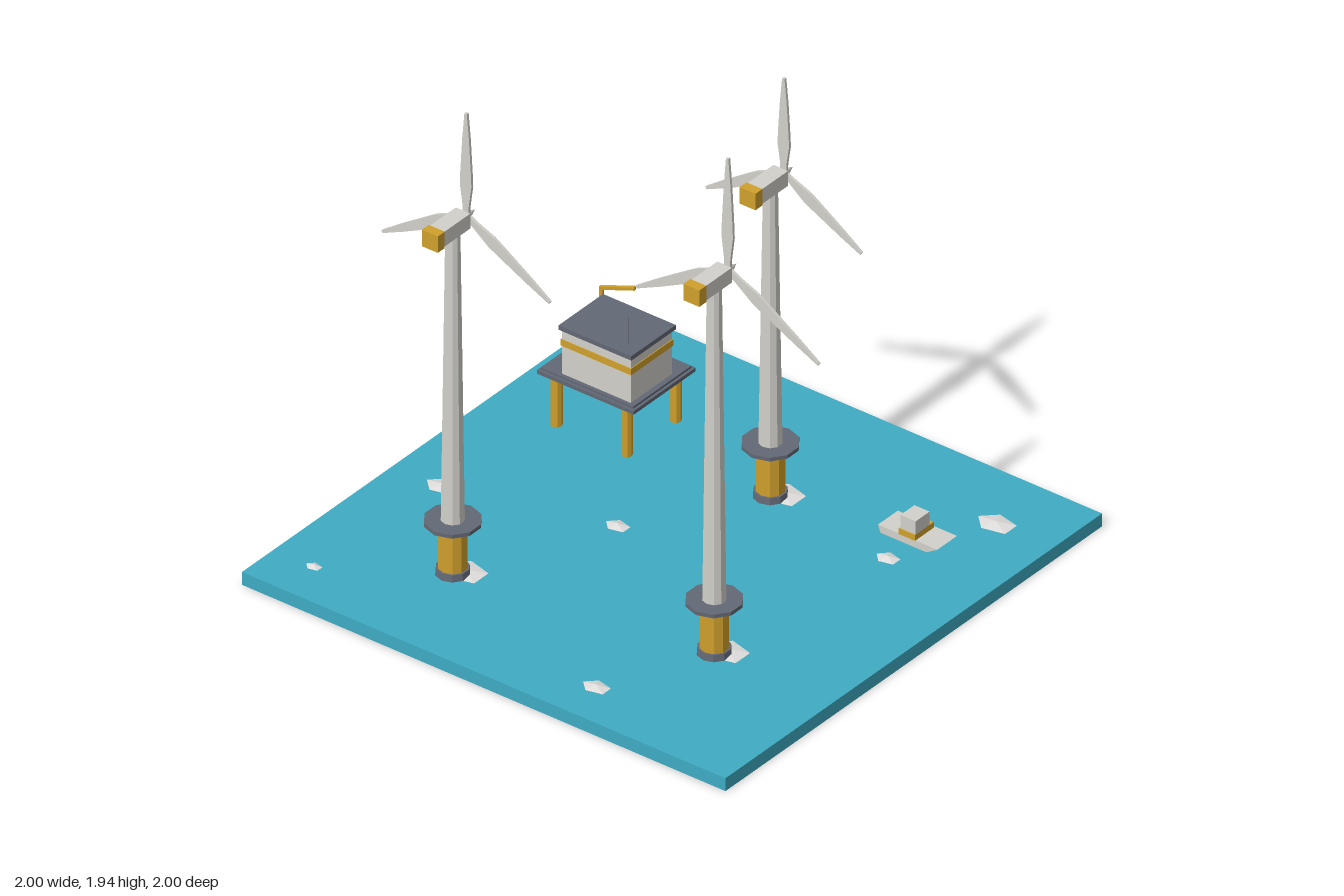
import * as THREE from 'three';

const mat = (name, color) => {
  const m = new THREE.MeshStandardMaterial({ color, flatShading: true });
  m.name = name;
  return m;
};

export function createModel() {
  const sea = mat('sea teal', 0x3fabc3);
  const white = mat('painted white', 0xd2d1cb);
  const gold = mat('safety yellow', 0xd0a02c);
  const grey = mat('deck grey', 0x626875);
  const foamMat = mat('foam white', 0xdedddb);
  const glass = mat('window blue', 0x2fa0bf);

  const root = new THREE.Group();
  root.name = 'offshoreWindFarm';

  const add = (parent, name, geo, material, x = 0, y = 0, z = 0) => {
    const m = new THREE.Mesh(geo, material);
    m.name = name;
    m.position.set(x, y, z);
    parent.add(m);
    return m;
  };
  // box given by its min and max on each axis
  const box = (parent, name, material, x0, x1, y0, y1, z0, z1) =>
    add(parent, name, new THREE.BoxGeometry(x1 - x0, y1 - y0, z1 - z0), material,
      (x0 + x1) / 2, (y0 + y1) / 2, (z0 + z1) / 2);
  // upright cylinder given by its bottom and top
  const column = (parent, name, material, rTop, rBottom, y0, y1, x = 0, z = 0, sides = 10) =>
    add(parent, name, new THREE.CylinderGeometry(rTop, rBottom, y1 - y0, sides), material, x, (y0 + y1) / 2, z);
  // low five-sided foam mound pointing to -x
  const foam = (parent, x, z, rx, rz) => {
    const g = new THREE.ConeGeometry(1, 0.01, 5, 1, false, -Math.PI / 2);
    g.scale(rx, 1, rz);
    return add(parent, 'foamPatch', g, foamMat, x, 0.055, z);
  };

  box(root, 'seaSlab', sea, -1, 1, 0, 0.05, -1, 1);

  // blade outline, pointing up from the hub
  const bladeGeometry = (len) => {
    const outline = [[0.012, 0], [0.013, 0.1], [0.024, 0.3], [0.022, 0.42], [0.014, 0.75], [0.005, 1]];
    const pts = outline.map(([w, t]) => new THREE.Vector2(w, t * len));
    const mirrored = outline.map(([w, t]) => new THREE.Vector2(-w, t * len)).reverse();
    const g = new THREE.ExtrudeGeometry(new THREE.Shape([...pts, ...mirrored]), { depth: 0.01, bevelEnabled: false });
    return g.translate(0, 0, -0.005);
  };

  const turbine = (x, z, hubY, bladeLen) => {
    const t = new THREE.Group();
    t.name = 'windTurbine';
    t.position.set(x, 0, z);
    root.add(t);
    // foundation
    column(t, 'foundationCollar', grey, 0.057, 0.06, 0.05, 0.075);
    column(t, 'foundation', gold, 0.05, 0.05, 0.07, 0.25);
    column(t, 'serviceDeck', grey, 0.098, 0.098, 0.246, 0.26);
    box(t, 'boatLanding', gold, -0.015, 0.015, 0.07, 0.245, -0.06, -0.045);
    foam(t, 0.03, -0.03, 0.08, 0.065);
    // tower and nacelle
    column(t, 'tower', white, 0.026, 0.041, 0.26, hubY - 0.028);
    box(t, 'nacelle', white, -0.03, 0.03, hubY - 0.029, hubY + 0.029, -0.055, 0.088);
    box(t, 'nacelleTail', gold, -0.033, 0.033, hubY - 0.032, hubY + 0.032, 0.085, 0.122);
    // rotor
    const rotor = new THREE.Group();
    rotor.name = 'rotor';
    rotor.position.set(0, hubY, -0.073);
    t.add(rotor);
    const spinner = add(rotor, 'spinner', new THREE.ConeGeometry(0.025, 0.06, 8), white, 0, 0, -0.015);
    spinner.rotation.x = -Math.PI / 2;
    const blade = bladeGeometry(bladeLen);
    for (let i = 0; i < 3; i++) {
      add(rotor, 'blade', blade, white).rotation.z = i * Math.PI * 2 / 3;
    }
  };
  turbine(-0.455, 0.58, 1.405, 0.4);
  turbine(0.08, -0.42, 1.27, 0.37);
  turbine(0.51, 0.43, 1.505, 0.435);

  // substation on four legs
  const station = new THREE.Group();
  station.name = 'substation';
  root.add(station);
  for (const x of [-0.73, -0.44]) {
    for (const z of [-0.585, -0.325]) column(station, 'leg', gold, 0.02, 0.02, 0.05, 0.246, x, z, 8);
  }
  box(station, 'deckPlate', grey, -0.785, -0.385, 0.244, 0.258, -0.62, -0.29);
  box(station, 'deckTop', grey, -0.775, -0.395, 0.258, 0.266, -0.61, -0.3);
  box(station, 'house', white, -0.7, -0.415, 0.266, 0.44, -0.534, -0.314);
  box(station, 'houseBand', gold, -0.703, -0.412, 0.376, 0.401, -0.537, -0.311);
  box(station, 'roof', grey, -0.708, -0.407, 0.438, 0.455, -0.543, -0.306);
  for (const x of [-0.615, -0.52]) {
    box(station, 'backWindow', glass, x - 0.03, x + 0.03, 0.31, 0.36, -0.54, -0.533);
  }
  box(station, 'sideWindow', glass, -0.706, -0.699, 0.31, 0.36, -0.455, -0.395);
  column(station, 'antenna', grey, 0.002, 0.002, 0.455, 0.56, -0.46, -0.36, 5);

  // crane with slanted boom
  column(station, 'craneMast', gold, 0.008, 0.008, 0.266, 0.46, -0.735, -0.57, 6);
  const from = new THREE.Vector3(-0.74, 0.455, -0.568);
  const to = new THREE.Vector3(-0.62, 0.483, -0.6);
  const boom = add(station, 'craneBoom', new THREE.BoxGeometry(0.012, 0.012, from.distanceTo(to)), gold);
  boom.position.copy(from).lerp(to, 0.5);
  boom.lookAt(to);

  // service boat, bow towards +x
  const boat = new THREE.Group();
  boat.name = 'serviceBoat';
  root.add(boat);
  const hullSide = new THREE.Shape([[0.5, 0.05], [0.69, 0.05], [0.735, 0.078], [0.49, 0.078]]
    .map(([x, y]) => new THREE.Vector2(x, y)));
  add(boat, 'hull', new THREE.ExtrudeGeometry(hullSide, { depth: 0.105, bevelEnabled: false }), white, 0, 0, -0.57);
  box(boat, 'cabinBase', gold, 0.578, 0.645, 0.078, 0.1, -0.562, -0.462);
  box(boat, 'cabin', white, 0.582, 0.645, 0.1, 0.152, -0.54, -0.466);
  box(boat, 'cabinWindow', glass, 0.59, 0.637, 0.112, 0.138, -0.546, -0.539);

  // drifting foam
  [[0.765, -0.74, 0.075, 0.053], [0.612, -0.36, 0.046, 0.034], [-0.202, 0.03, 0.047, 0.034],
    [-0.8, 0.195, 0.062, 0.044], [-0.835, 0.83, 0.031, 0.023], [0.333, 0.83, 0.054, 0.038],
  ].forEach((f) => foam(root, ...f));

  return root;
}
